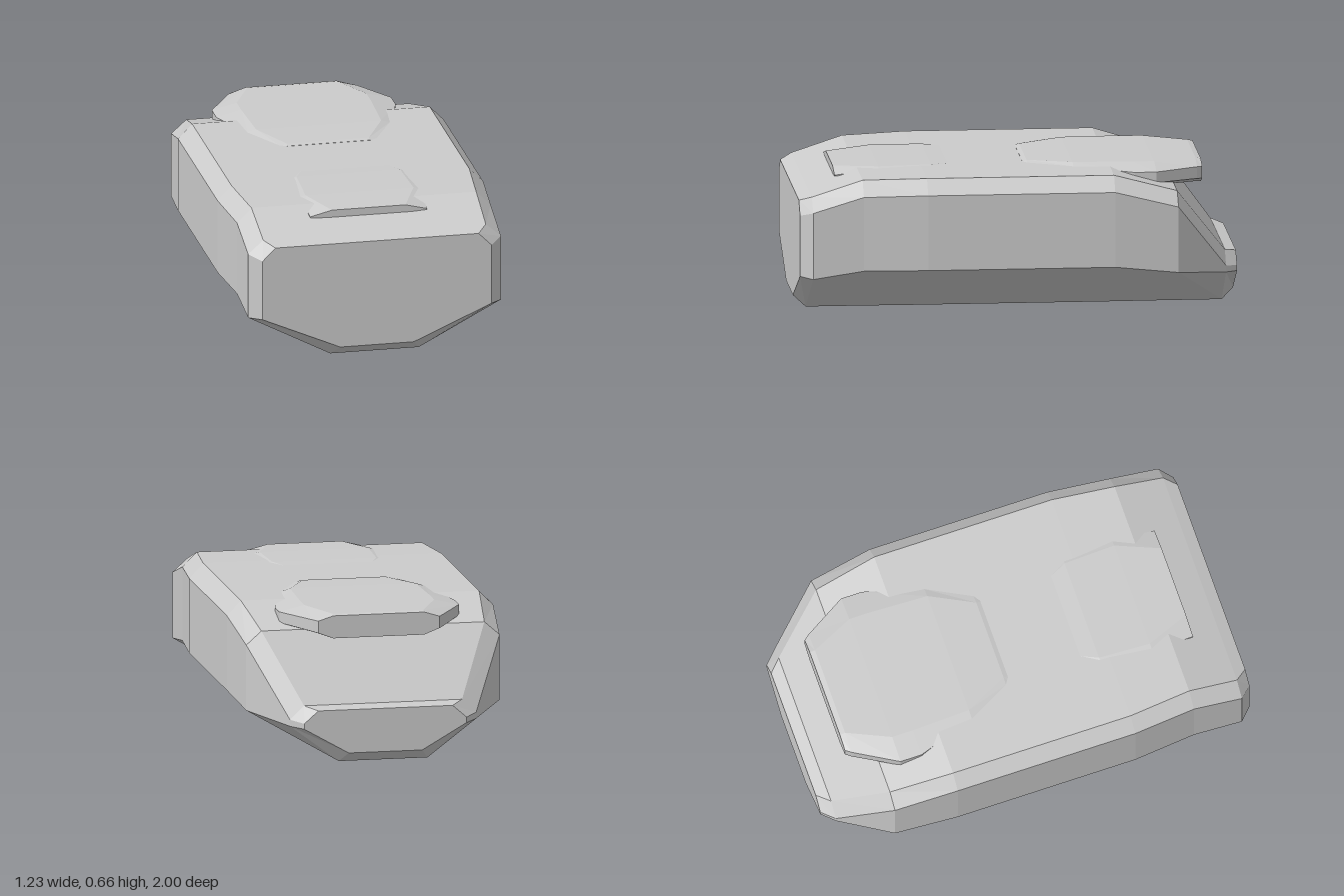
import * as THREE from 'three';

const material = new THREE.MeshStandardMaterial({ color: 0xcccccc, flatShading: true });

// Lofts mirrored sections, listed front to back: { z, half: [[x, y], ...] from bottom to top }
function loft(name, sections) {
  const rings = sections.map(({ z, half }) => [
    ...half.map(([x, y]) => [x, y, z]),
    ...[...half].reverse().map(([x, y]) => [-x, y, z]),
  ]);
  const n = rings[0].length;
  const positions = [];
  const tri = (a, b, c) => positions.push(...a, ...b, ...c);
  for (let s = 0; s < rings.length - 1; s++) {
    for (let i = 0; i < n; i++) {
      const j = (i + 1) % n;
      const [front, back] = [rings[s], rings[s + 1]];
      tri(front[i], back[i], front[j]);
      tri(front[j], back[i], back[j]);
    }
  }
  // End caps
  const first = rings[0], last = rings[rings.length - 1];
  for (let i = 1; i < n - 1; i++) {
    tri(first[0], first[i], first[i + 1]);
    tri(last[0], last[i + 1], last[i]);
  }
  const geometry = new THREE.BufferGeometry();
  geometry.setAttribute('position', new THREE.Float32BufferAttribute(positions, 3));
  geometry.computeVertexNormals();
  const mesh = new THREE.Mesh(geometry, material);
  mesh.name = name;
  return mesh;
}

// Hull section: keel edge, lower side, upper side, roof edge
const hullSection = (z, xKeel, yKeel, xSide, yLow, yHigh, xRoof, yRoof) => ({
  z, half: [[xKeel, yKeel], [xSide, yLow], [xSide, yHigh], [xRoof, yRoof]],
});

// Plate section: underside, lower rim, upper rim, top edge
const plateSection = (z, xTop, yTop, xRim, yRim, yRimLow, yBottom) => ({
  z, half: [[xTop, yBottom], [xRim, yRimLow], [xRim, yRim], [xTop, yTop]],
});

export function createModel() {
  const model = new THREE.Group();
  model.name = 'armouredPod';

  // Faceted main body with the sloping tail
  model.add(loft('hull', [
    hullSection(1.0, 0.17, 0.047, 0.53, 0.205, 0.485, 0.47, 0.545),
    hullSection(0.945, 0.205, 0, 0.585, 0.2, 0.505, 0.515, 0.567),
    hullSection(0.715, 0.205, 0, 0.587, 0.235, 0.575, 0.52, 0.642),
    hullSection(0.425, 0.21, 0, 0.615, 0.238, 0.583, 0.55, 0.65),
    hullSection(-0.425, 0.21, 0, 0.615, 0.238, 0.583, 0.55, 0.65),
    hullSection(-0.715, 0.205, 0, 0.585, 0.203, 0.505, 0.515, 0.567),
    hullSection(-0.945, 0.205, 0, 0.43, 0.17, 0.2, 0.365, 0.262),
    hullSection(-1.0, 0.17, 0.047, 0.375, 0.165, 0.19, 0.31, 0.247),
  ]));

  // Small raised plate at the front of the roof
  model.add(loft('frontRoofPlate', [
    plateSection(0.82, 0.17, 0.642, 0.27, 0.617, 0.612, 0.606),
    plateSection(0.62, 0.25, 0.65, 0.28, 0.643, 0.62, 0.606),
    plateSection(0.38, 0.24, 0.653, 0.27, 0.645, 0.625, 0.61),
    plateSection(0.25, 0.18, 0.648, 0.2, 0.64, 0.63, 0.62),
  ]));

  // Large plate overhanging the tail
  model.add(loft('rearRoofPlate', [
    plateSection(-0.04, 0.19, 0.651, 0.22, 0.645, 0.63, 0.6),
    plateSection(-0.06, 0.19, 0.656, 0.225, 0.65, 0.62, 0.58),
    plateSection(-0.26, 0.29, 0.662, 0.33, 0.65, 0.61, 0.57),
    plateSection(-0.53, 0.3, 0.662, 0.415, 0.634, 0.595, 0.555),
    plateSection(-0.63, 0.3, 0.661, 0.415, 0.634, 0.585, 0.55),
    plateSection(-0.825, 0.21, 0.657, 0.3, 0.632, 0.578, 0.548),
    plateSection(-0.85, 0.21, 0.652, 0.28, 0.63, 0.575, 0.548),
  ]));

  return model;
}
